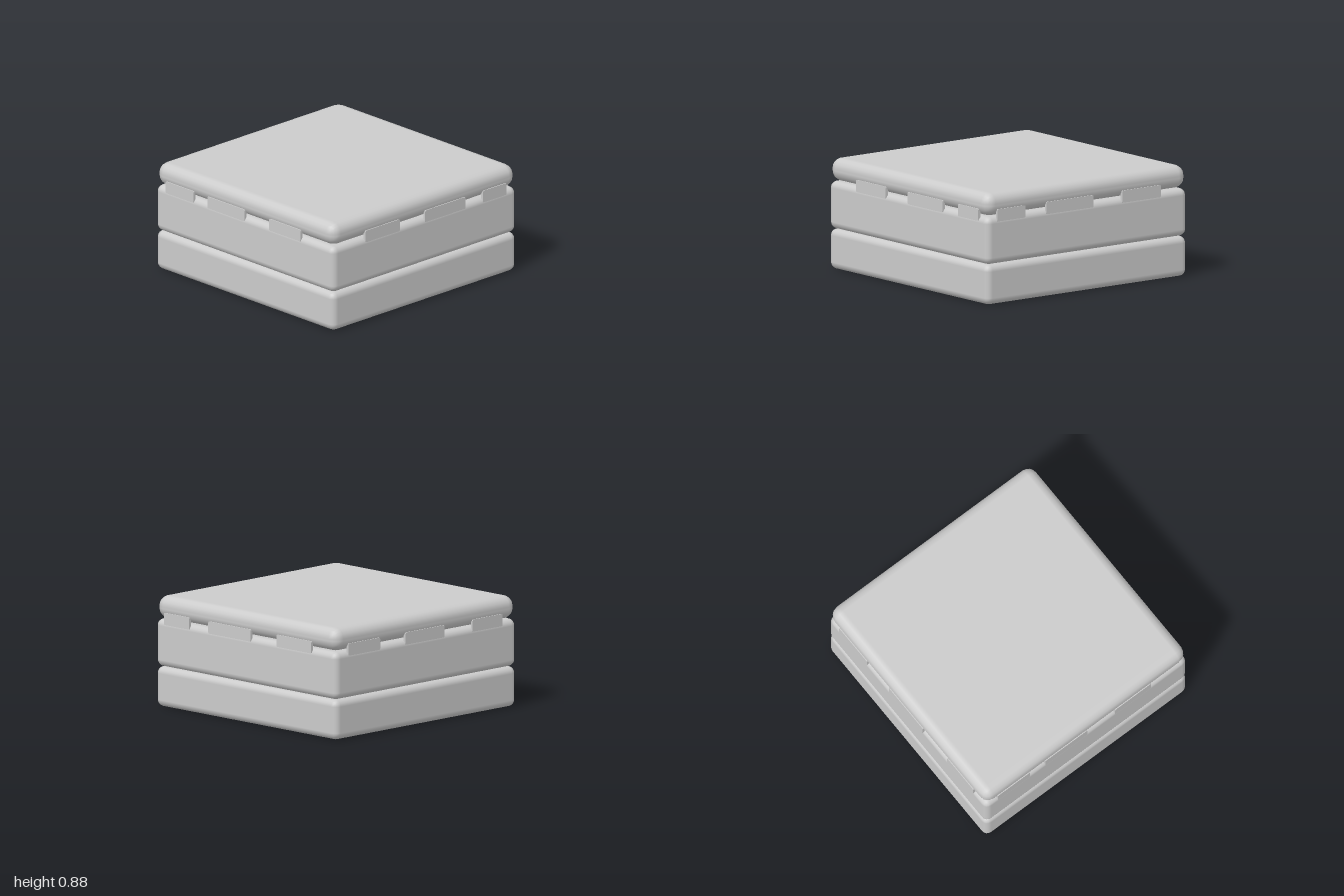
import * as THREE from 'three';
import { RoundedBoxGeometry } from 'three/addons/geometries/RoundedBoxGeometry.js';

const material = new THREE.MeshStandardMaterial({ color: 0xcccccc });

// Square rounded slab spanning the given heights
function slab(name, bottom, top, radius) {
  const mesh = new THREE.Mesh(new RoundedBoxGeometry(2, top - bottom, 2, 2, radius), material);
  mesh.name = name;
  mesh.position.y = (bottom + top) / 2;
  return mesh;
}

// Thin plate with softened corners, its outer face at local z = 1
function tab(from, to, bottom, top) {
  const w = to - from, h = top - bottom, r = 0.012, depth = 0.022;
  const s = new THREE.Shape();
  s.moveTo(from + r, bottom);
  s.lineTo(from + w - r, bottom);
  s.quadraticCurveTo(to, bottom, to, bottom + r);
  s.lineTo(to, bottom + h - r);
  s.quadraticCurveTo(to, top, to - r, top);
  s.lineTo(from + r, top);
  s.quadraticCurveTo(from, top, from, top - r);
  s.lineTo(from, bottom + r);
  s.quadraticCurveTo(from, bottom, from + r, bottom);
  const geometry = new THREE.ExtrudeGeometry(s, { depth, bevelEnabled: false, curveSegments: 3 });
  geometry.translate(0, 0, 1.001 - depth);
  const mesh = new THREE.Mesh(geometry, material);
  mesh.name = 'tab';
  return mesh;
}

export function createModel() {
  const model = new THREE.Group();
  model.name = 'layeredBlock';

  // Three stacked layers
  model.add(slab('bottomLayer', 0, 0.32, 0.055));
  model.add(slab('middleLayer', 0.32, 0.7, 0.055));
  model.add(slab('topLayer', 0.7, 0.885, 0.085));

  // Uneven tabs over the upper seam, listed left to right on each side
  const sides = [
    ['frontTabs', 0, [[-0.88, -0.565], [-0.41, 0.005], [0.28, 0.635]]],
    ['leftTabs', Math.PI / 2, [[-0.65, -0.275], [0, 0.44], [0.63, 0.885]]],
    ['backTabs', Math.PI, [[-0.9, -0.62], [-0.41, 0.06], [0.345, 0.73]]],
    ['rightTabs', -Math.PI / 2, [[-0.86, -0.51], [-0.23, 0.2], [0.51, 0.84]]],
  ];
  for (const [name, angle, spans] of sides) {
    const group = new THREE.Group();
    group.name = name;
    group.rotation.y = angle;
    for (const [from, to] of spans) group.add(tab(from, to, 0.66, 0.757));
    model.add(group);
  }
  return model;
}
